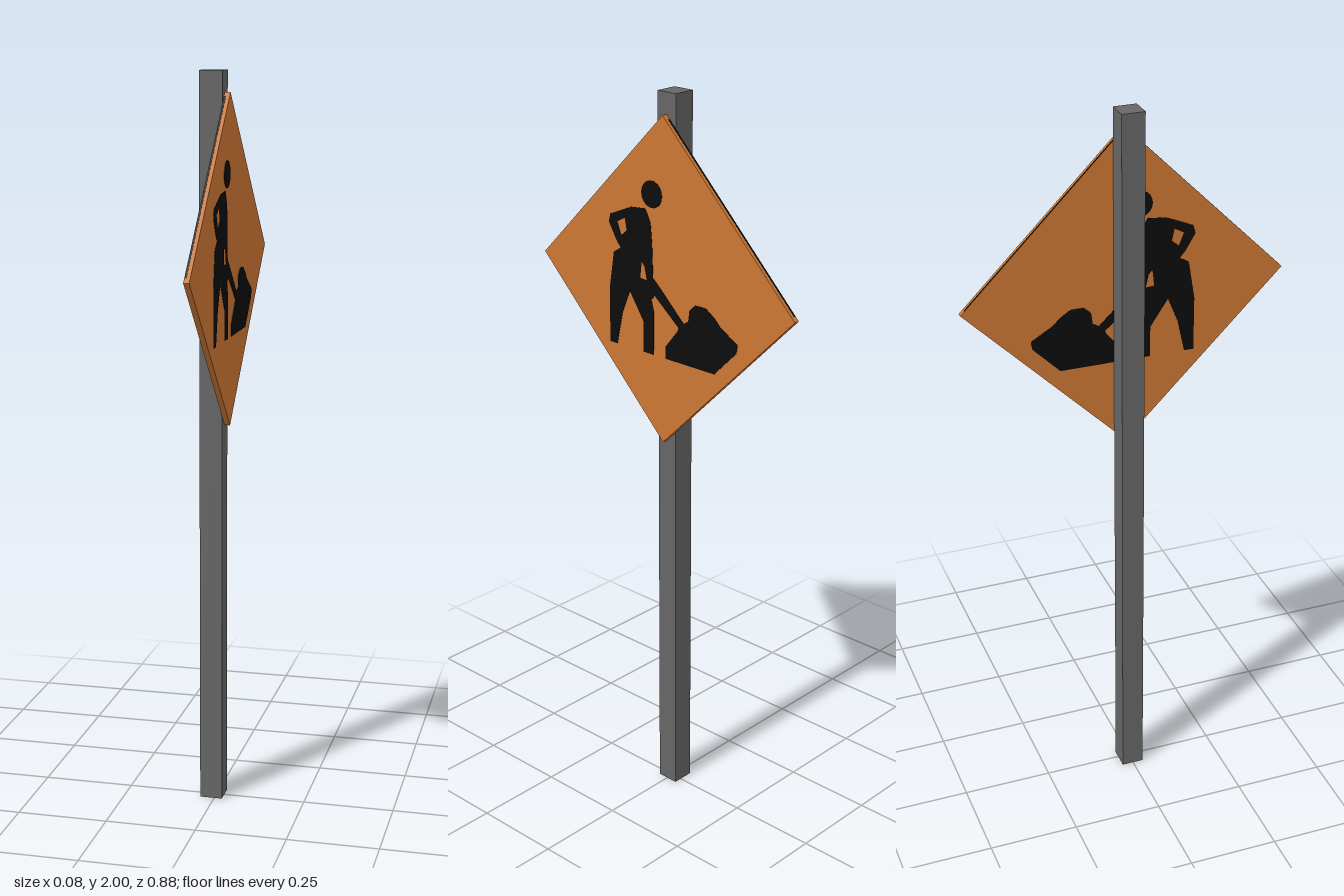
import * as THREE from 'three';

const steel = new THREE.MeshStandardMaterial({ color: 0x666666 });
steel.name = 'grey steel';
const orange = new THREE.MeshStandardMaterial({ color: 0xcc7733 });
orange.name = 'sign orange';
const black = new THREE.MeshStandardMaterial({ color: 0x0c0c0c });
black.name = 'symbol black';

const HALF = 0.44;                 // half diagonal of the board
const SIDE = HALF * Math.SQRT2;
const THICK = 0.015;
const CENTRE = new THREE.Vector3(0.0295, 1.504, 0);

// Symbol outlines in hundredths of a unit, measured from the board centre
const pts = (list) => list.map(([x, y]) => new THREE.Vector2(x / 100, y / 100));

const WORKER = [
  [-11.1, 18.6], [-6, 19.1], [-4.2, 15.4], [-3.7, 10.1], [-3.4, 1], [-0.5, -1.5],
  [7.4, -9], [6.3, -11], [-2.8, -3.6], [-4, -5], [-3.2, -8], [-3.2, -20],
  [-6.9, -20], [-6.9, -11.5], [-11.8, -4.2], [-14.6, -11], [-16.6, -20], [-19.2, -20],
  [-19.2, -5], [-17.5, 5.3], [-15, 6.9], [-16.6, 8.8], [-19.2, 13.2], [-18.6, 15.4],
];
const ARM_GAP = [[-16, 13.8], [-13.4, 15.2], [-12.7, 12], [-14.6, 10.4]];
const HANDLE_GAP = [[-7.4, 4.6], [-6.4, 3.6], [-5.6, 0], [-7.9, 0.2]];
const MOUND = [
  [1.1, -20], [1.1, -16.5], [5.3, -11.4], [5.8, -9.8], [9, -7.9], [9.4, -4.8],
  [11.4, -3], [15, -3], [18, -5], [19.8, -6.8], [25.8, -10.3], [25.4, -12.6], [18, -20],
];

function createSymbol() {
  const worker = new THREE.Shape(pts(WORKER));
  worker.holes.push(new THREE.Path(pts(ARM_GAP)), new THREE.Path(pts(HANDLE_GAP)));
  const head = new THREE.Shape().absarc(-0.038, 0.232, 0.036, 0, Math.PI * 2);
  const parts = { worker, workerHead: head, earthMound: new THREE.Shape(pts(MOUND)) };

  // Each silhouette runs through the board and shows on both faces
  const symbol = new THREE.Group();
  symbol.name = 'symbol';
  const depth = THICK + 0.002;
  for (const [name, shape] of Object.entries(parts)) {
    const geo = new THREE.ExtrudeGeometry(shape, { depth, bevelEnabled: false, curveSegments: 10 });
    geo.translate(0, 0, -depth / 2);
    const mesh = new THREE.Mesh(geo, black);
    mesh.name = name;
    symbol.add(mesh);
  }
  symbol.rotation.y = Math.PI / 2;
  return symbol;
}

export function createModel() {
  const model = new THREE.Group();
  model.name = 'roadworkSign';

  // Square post
  const post = new THREE.Mesh(new THREE.BoxGeometry(0.062, 2, 0.062), steel);
  post.name = 'post';
  post.position.set(-0.009, 1, -0.001);
  model.add(post);

  // Diamond board on the model's left side
  const sign = new THREE.Group();
  sign.name = 'sign';
  sign.position.copy(CENTRE);
  const board = new THREE.Mesh(new THREE.BoxGeometry(THICK, SIDE, SIDE), orange);
  board.name = 'board';
  board.rotation.x = Math.PI / 4;
  sign.add(board, createSymbol());

  // Thin dark line along the two upper edges
  for (const s of [-1, 1]) {
    const line = new THREE.Mesh(new THREE.BoxGeometry(0.005, 0.001, SIDE - 0.03), black);
    line.name = s > 0 ? 'frontEdgeLine' : 'backEdgeLine';
    line.rotation.x = s * Math.PI / 4;
    line.position.set(-0.0045, HALF / 2, s * HALF / 2);
    sign.add(line);
  }
  model.add(sign);
  return model;
}
